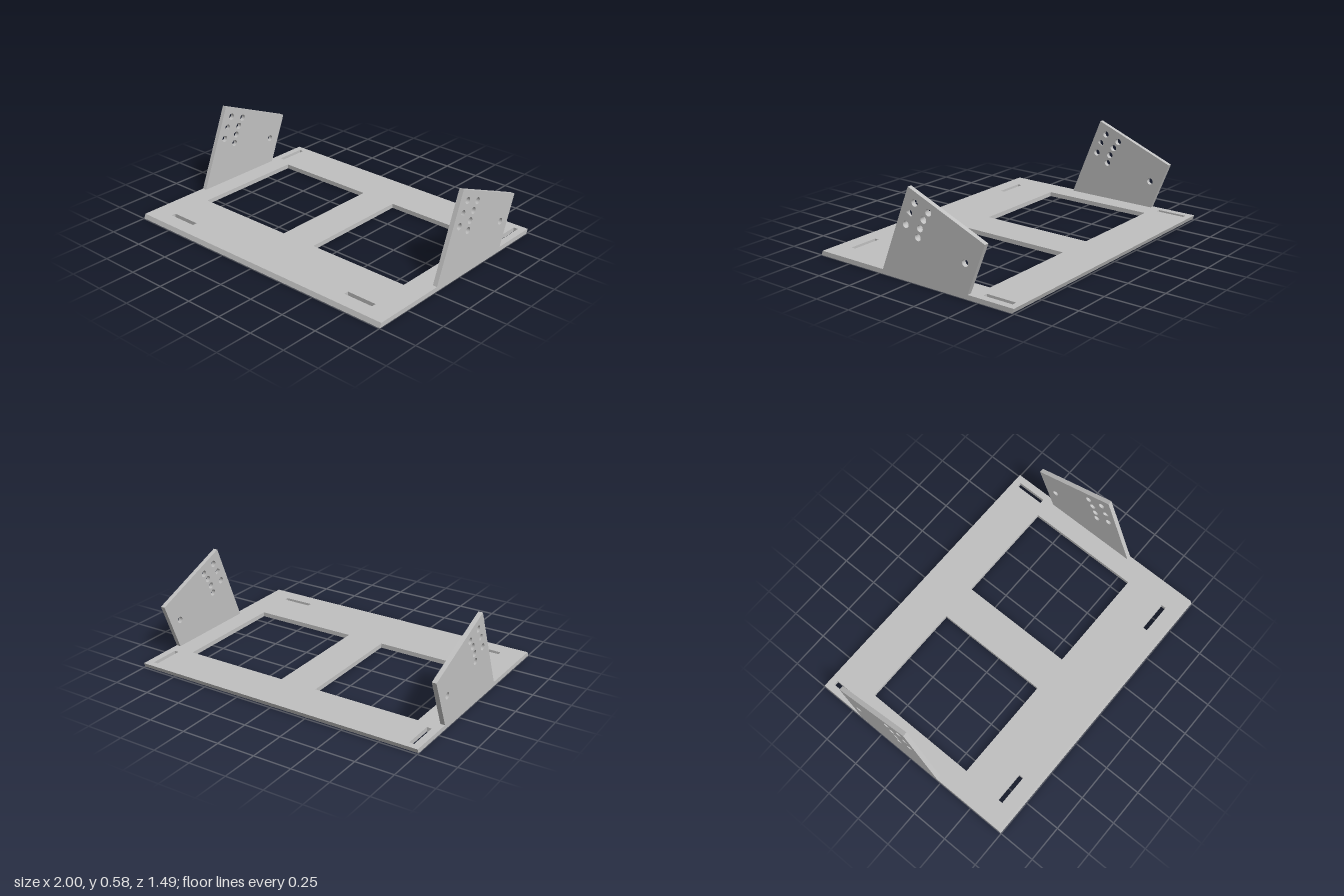
import * as THREE from 'three';

const THICK = 0.03;
const SHEAR = 0.012;
const HALF_Z = 0.747;

// Rectangle as corner points
const rect = (x0, x1, y0, y1) => [[x0, y0], [x1, y0], [x1, y1], [x0, y1]].map(p => new THREE.Vector2(...p));

// Base plate: drawn in (x, -z), with windows and mounting slots
function basePlate() {
  const shape = new THREE.Shape(rect(-1, 1, -HALF_Z, HALF_Z));
  for (const s of [-1, 1]) {
    const cut = (x0, x1, z0, z1) => shape.holes.push(new THREE.Path(rect(s * x0, s * x1, -z1, -z0)));
    cut(0.127, 0.84, -0.455, 0.331);  // window
    cut(0.923, 0.954, -0.704, -0.499); // back slot
    cut(0.646, 0.852, 0.604, 0.636);  // front slot
  }
  const geo = new THREE.ExtrudeGeometry(shape, { depth: THICK, bevelEnabled: false });
  geo.rotateX(-Math.PI / 2);
  // Lean the outer front and back edges backwards, leaving the cutouts upright
  const pos = geo.attributes.position;
  for (let i = 0; i < pos.count; i++) {
    const z = pos.getZ(i), top = pos.getY(i) > THICK / 2;
    if (z > 0.72 && top) pos.setZ(i, z - SHEAR);
    if (z < -0.72 && !top) pos.setZ(i, z + SHEAR);
  }
  geo.computeVertexNormals();
  return geo;
}

// Side bracket: tilted plate drawn in (-z, y), with round adjustment holes
function bracket() {
  const outline = [[0.224, 0.03], [0.004, 0.578], [-0.552, 0.352], [-0.424, 0.03]];
  const shape = new THREE.Shape(outline.map(([z, y]) => new THREE.Vector2(-z, y)));
  const holes = [
    [-0.044, 0.49], [-0.002, 0.422], [0.028, 0.348],
    [-0.146, 0.452], [-0.108, 0.402], [-0.08, 0.346], [-0.062, 0.288],
    [-0.41, 0.214],
  ];
  for (const [z, y] of holes) {
    shape.holes.push(new THREE.Path().absarc(-z, y, 0.022, 0, Math.PI * 2));
  }
  const geo = new THREE.ExtrudeGeometry(shape, { depth: THICK, bevelEnabled: false, curveSegments: 16 });
  geo.rotateY(Math.PI / 2);
  return geo;
}

export function createModel() {
  const group = new THREE.Group();
  group.name = 'mountingFrame';
  const metal = new THREE.MeshStandardMaterial({ color: 0xc0c0c0 });
  metal.name = 'lightGrey';

  const add = (name, geo, x = 0) => {
    const mesh = new THREE.Mesh(geo, metal);
    mesh.name = name;
    mesh.position.x = x;
    group.add(mesh);
  };

  add('basePlate', basePlate());
  const side = bracket();
  add('leftBracket', side, 1 - THICK);
  add('rightBracket', side, -1);
  return group;
}
